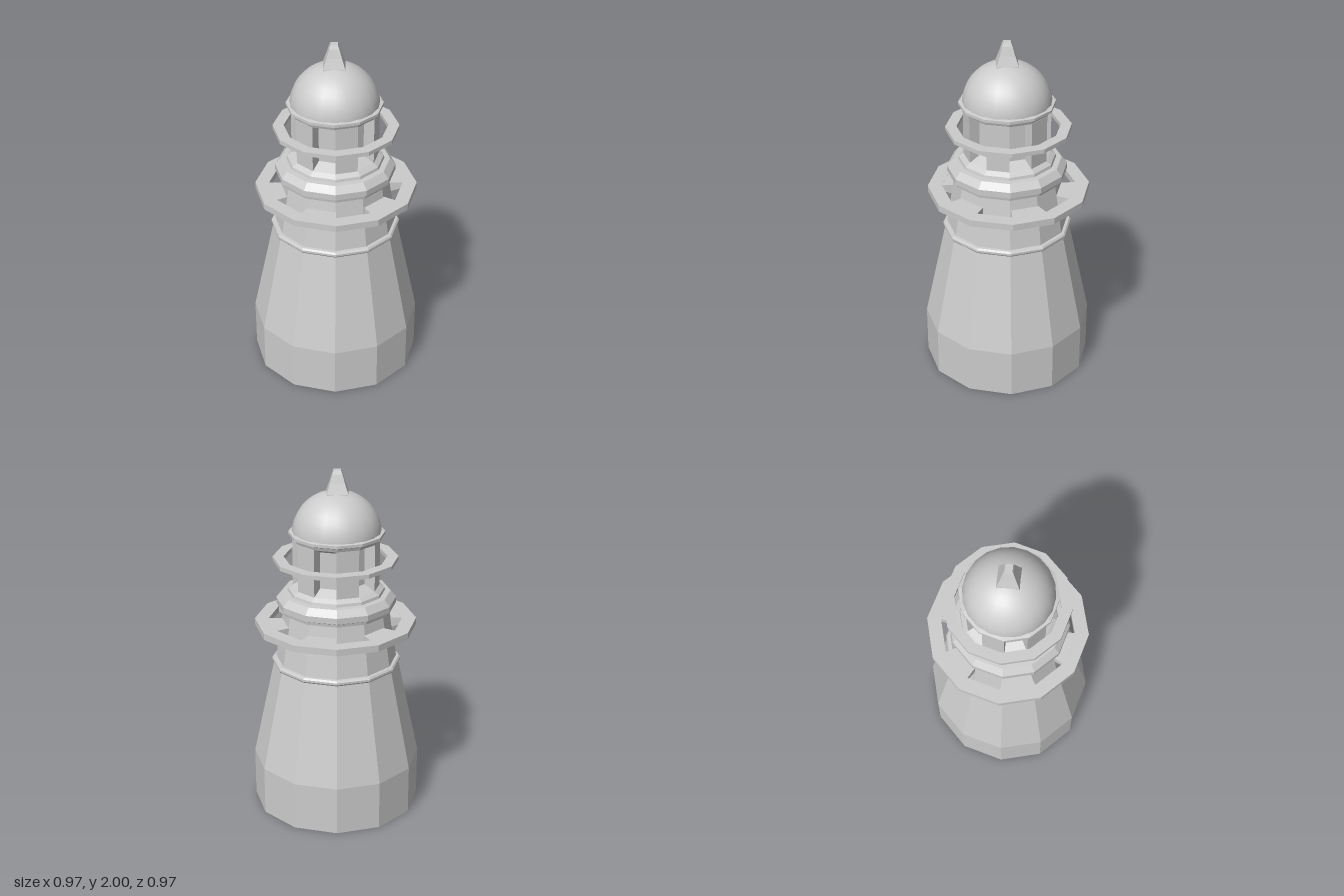
import * as THREE from 'three';
import { ConvexGeometry } from 'three/addons/geometries/ConvexGeometry.js';

const SIDES = 12;
const STEP = (Math.PI * 2) / SIDES;

export function createModel() {
  const model = new THREE.Group();
  model.name = 'lighthouse';
  const flat = new THREE.MeshStandardMaterial({ color: 0xcccccc, flatShading: true });
  const smooth = new THREE.MeshStandardMaterial({ color: 0xcccccc });

  const add = (name, geometry, parent = model, material = flat) => {
    const mesh = new THREE.Mesh(geometry, material);
    mesh.name = name;
    parent.add(mesh);
    return mesh;
  };
  const group = (name) => {
    const g = new THREE.Group();
    g.name = name;
    model.add(g);
    return g;
  };
  // Twelve-sided solid turned from [radius, height] pairs, listed bottom to top
  const turned = (profile, segments = SIDES) =>
    new THREE.LatheGeometry(profile.map(([r, y]) => new THREE.Vector2(r, y)), segments);
  // Flat ring with a rectangular section
  const ring = (r0, r1, y0, y1) => turned([[r0, y0], [r1, y0], [r1, y1], [r0, y1], [r0, y0]]);
  // Solid block filling one of the twelve sides
  const block = (profile, side) =>
    new ConvexGeometry([side, side + 1].flatMap((k) => profile.map(([r, y]) =>
      new THREE.Vector3(r * Math.sin(k * STEP), y, r * Math.cos(k * STEP)))));

  // Tower
  add('towerBase', turned([[0, 0], [0.484, 0], [0.484, 0.285]]));
  add('towerShaft', turned([[0.484, 0.285], [0.357, 0.875], [0.346, 0.9], [0.298, 1.21]]));
  add('towerBand', turned([[0.35, 0.868], [0.364, 0.87], [0.37, 0.878], [0.37, 0.89], [0.362, 0.9], [0.34, 0.902]]));

  // Cornice and ledge below the lantern room
  add('cornice', turned([[0.296, 1.2], [0.325, 1.205], [0.328, 1.222], [0.34, 1.228], [0.34, 1.262],
    [0.308, 1.3], [0.276, 1.302], [0.272, 1.318], [0.245, 1.337]]));

  // Lower gallery: ring carried by brackets on every second side
  const gallery = group('gallery');
  gallery.position.set(0.004, 0, -0.008);
  add('galleryRing', ring(0.38, 0.46, 1.097, 1.135), gallery);
  const bracket = [[0.28, 1.075], [0.32, 1.078], [0.385, 1.1], [0.385, 1.134], [0.28, 1.134]];
  for (let side = 1; side < SIDES; side += 2) add('galleryBracket', block(bracket, side), gallery);

  // Lantern room: recessed window wall with posts on the other sides
  const lantern = group('lanternRoom');
  add('windowWall', turned([[0.245, 1.337], [0.18, 1.37], [0.18, 1.58], [0.245, 1.61]]), lantern);
  const post = [[0.17, 1.335], [0.245, 1.335], [0.245, 1.612], [0.17, 1.612]];
  for (let side = 0; side < SIDES; side += 2) add('lanternPost', block(post, side), lantern);

  // Open railing ring around the lantern room
  add('railingRing', ring(0.29, 0.352, 1.483, 1.507)).position.set(0.004, 0, -0.008);

  // Roof: eave, dome and square finial
  const roof = group('roof');
  roof.position.x = -0.003;
  add('eave', turned([[0.245, 1.61], [0.252, 1.628], [0.27, 1.636], [0.27, 1.652], [0.24, 1.658]]), roof);
  const dome = new THREE.SphereGeometry(0.25, 20, 10, 0, Math.PI * 2, 0, Math.PI / 2);
  dome.scale(1, 0.97, 1);
  add('dome', dome, roof, smooth).position.y = 1.64;
  const finial = turned([[0.064, 1.84], [0.06, 1.875], [0.042, 1.93], [0.028, 1.98], [0.02, 2], [0, 2]]
    .map(([r, y]) => [r * Math.SQRT2, y]), 4);
  add('finial', finial.rotateY(Math.PI / 4), roof).position.x = -0.003;

  return model;
}
